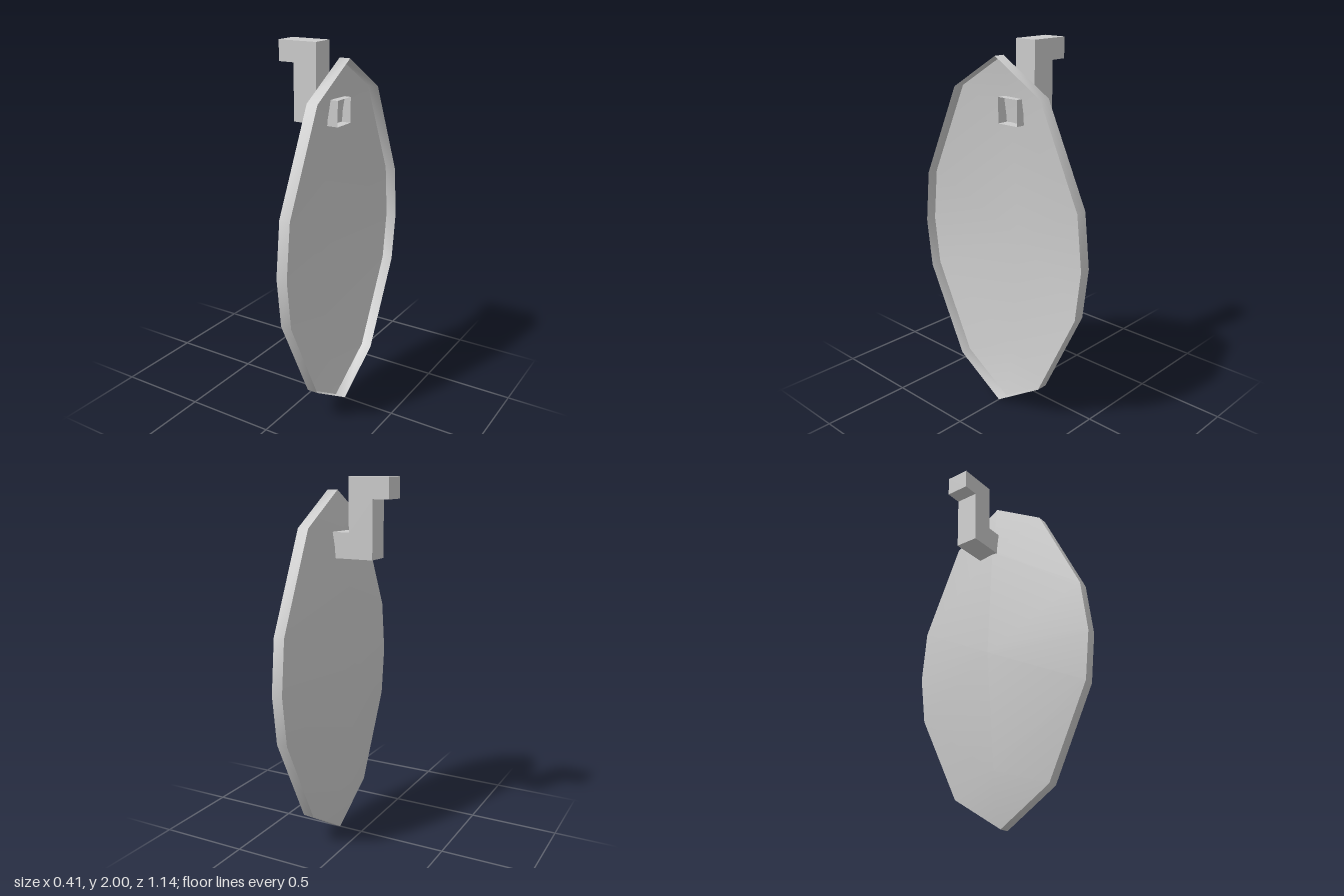
import * as THREE from 'three';

const material = new THREE.MeshStandardMaterial({ color: 0xcccccc, side: THREE.DoubleSide });

function surface(name, points, index) {
  const g = new THREE.BufferGeometry();
  g.setAttribute('position', new THREE.Float32BufferAttribute(points.flat(), 3));
  g.setIndex(index);
  g.computeVertexNormals();
  const mesh = new THREE.Mesh(g, material);
  mesh.name = name;
  return mesh;
}

// Half outline of the dish as [z, y], top to bottom
const HALF = [[0, 1.93], [0.3, 1.75], [0.54, 1.24], [0.572, 0.95], [0.54, 0.68], [0.3, 0.19], [0, 0]];
const RIM_BACK = 0.14, RIM_FRONT = 0.2;

// Shallow dished panel: a curved spine joined to the rim on both sides
function makeDish() {
  const spine = [[0.085, 1.6], [0.035, 0.94], [0.083, 0.29]];
  const points = [], index = [];
  const inner = HALF.slice(1, -1);
  points.push([RIM_BACK, 1.93, 0]);
  for (const [x, y] of spine) points.push([x, y, 0]);
  points.push([RIM_BACK, 0, 0]);
  for (const s of [1, -1]) for (const [z, y] of inner) points.push([RIM_BACK, y, z * s]);
  // Spine points are 0-4, side points 5-9, mirrored side points 10-14
  const faces = [[0, 1, 5], [1, 6, 5], [1, 2, 6], [2, 7, 6], [2, 8, 7], [2, 3, 8], [3, 9, 8], [3, 4, 9]];
  const mirror = (i) => (i > 4 ? i + 5 : i);
  for (const [a, b, c] of faces) index.push(a, b, c, mirror(a), mirror(c), mirror(b));
  return surface('dish', points, index);
}

// Rim wall standing around the dish, open towards +x
function makeRim() {
  const loop = [...HALF, ...HALF.slice(1, -1).reverse().map(([z, y]) => [-z, y])];
  const points = [], index = [], n = loop.length;
  loop.forEach(([z, y], i) => {
    points.push([RIM_BACK, y, z], [RIM_FRONT, y, z]);
    const a = 2 * i, b = 2 * ((i + 1) % n);
    index.push(a, b, a + 1, a + 1, b, b + 1);
  });
  return surface('rim', points, index);
}

// Stepped hollow bracket whose open end passes through the dish
function makeBracket() {
  const group = new THREE.Group();
  group.name = 'bracket';
  const z0 = -0.1, z1 = 0.03;
  const profile = [[0.15, 1.72], [0.02, 1.72], [0.02, 2], [-0.205, 2],
    [-0.205, 1.89], [-0.115, 1.89], [-0.115, 1.585], [0.15, 1.585]];
  const shape = new THREE.Shape(profile.map(([x, y]) => new THREE.Vector2(x, y)));
  for (const z of [z0, z1]) {
    const side = new THREE.Mesh(new THREE.ShapeGeometry(shape), material);
    side.name = 'bracketSide';
    side.position.z = z;
    if (z === z0) side.geometry.index.array.reverse(), side.geometry.computeVertexNormals();
    group.add(side);
  }
  // Separate quads keep the edges sharp; the end at +x stays open
  const points = [], index = [];
  for (let i = 0; i < profile.length - 1; i++) {
    const [a, b] = [profile[i], profile[i + 1]], k = points.length;
    points.push([...a, z0], [...b, z0], [...b, z1], [...a, z1]);
    index.push(k, k + 1, k + 2, k, k + 2, k + 3);
  }
  group.add(surface('bracketWalls', points, index));
  return group;
}

export function createModel() {
  const model = new THREE.Group();
  model.name = 'dishedPanelWithBracket';
  model.add(makeDish(), makeRim(), makeBracket());
  return model;
}
